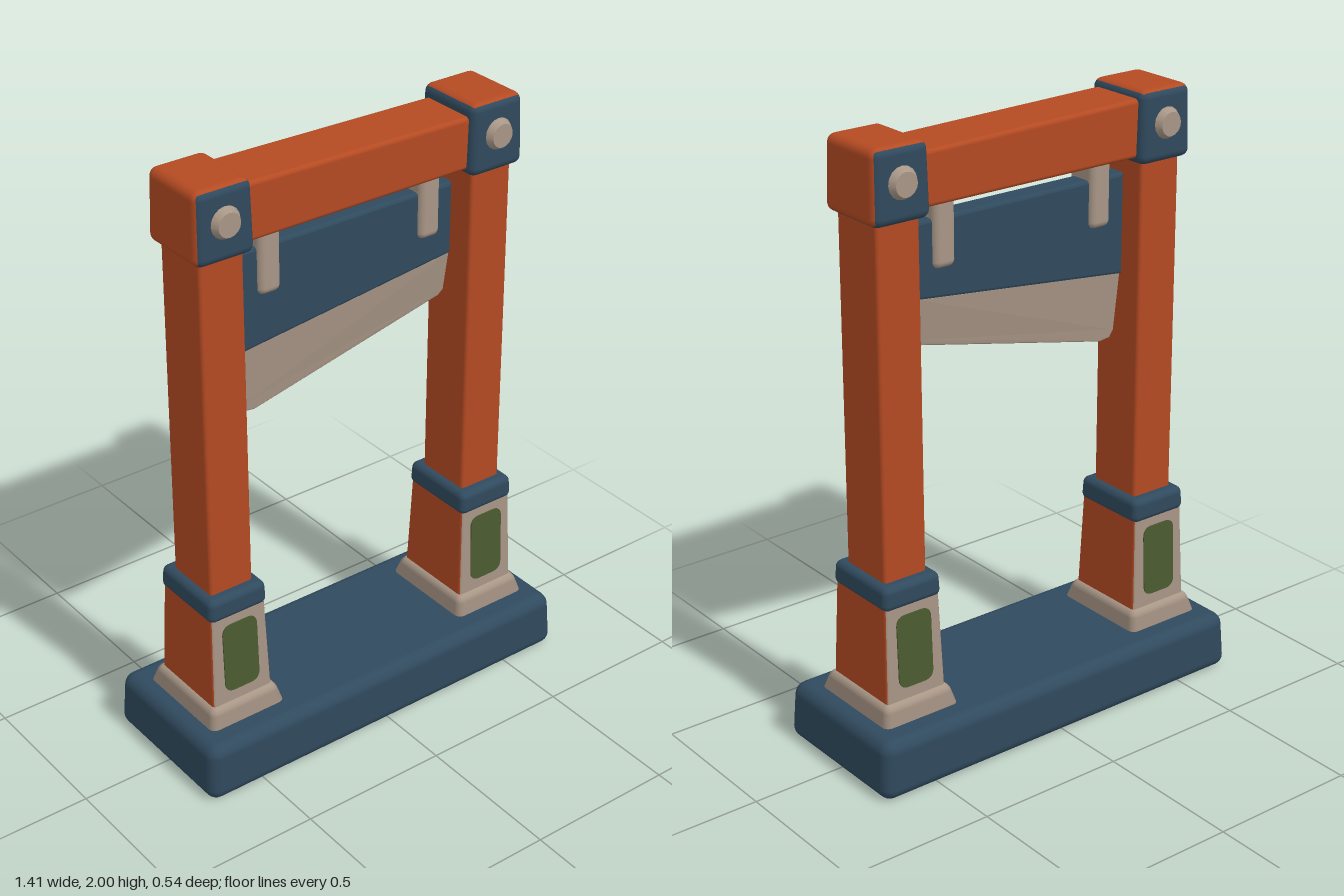
import * as THREE from 'three';
import { RoundedBoxGeometry } from 'three/addons/geometries/RoundedBoxGeometry.js';

const paint = (name, color) => {
  const m = new THREE.MeshStandardMaterial({ color });
  m.name = name;
  return m;
};

export function createModel() {
  const blue = paint('slate blue', 0x304a5e);
  const orange = paint('burnt orange', 0xb44a22);
  const tan = paint('stone tan', 0xa89686);
  const green = paint('moss green', 0x4a5a30);
  const model = new THREE.Group();
  model.name = 'guillotineFrame';

  const add = (parent, name, geometry, material, x = 0, y = 0, z = 0) => {
    const mesh = new THREE.Mesh(geometry, material);
    mesh.name = name;
    mesh.position.set(x, y, z);
    parent.add(mesh);
    return mesh;
  };

  // Rounded box whose top is narrowed by factors tx and tz
  const softBox = (w, h, d, r, tx = 1, tz = 1) => {
    const g = new RoundedBoxGeometry(w, h, d, 3, r);
    const p = g.attributes.position;
    for (let i = 0; i < p.count; i++) {
      const t = p.getY(i) / h + 0.5;
      p.setX(i, p.getX(i) * (1 + (tx - 1) * t));
      p.setZ(i, p.getZ(i) * (1 + (tz - 1) * t));
    }
    return g;
  };

  // Flat polygon extruded evenly about z = 0
  const slab = (points, depth, bevel) => {
    const shape = new THREE.Shape(points.map(([x, y]) => new THREE.Vector2(x, y)));
    const g = new THREE.ExtrudeGeometry(shape, {
      depth: depth - 2 * bevel, bevelEnabled: bevel > 0, bevelSize: bevel,
      bevelThickness: bevel, bevelOffset: -bevel, bevelSegments: 2,
    });
    return g.translate(0, 0, bevel - depth / 2);
  };

  // Rounded panel outline for the pedestal inlays
  const w = 0.064, h = 0.122, r = 0.035;
  const panel = new THREE.Shape();
  panel.moveTo(-w + r, -h);
  panel.lineTo(w - r, -h);
  panel.quadraticCurveTo(w, -h, w, -h + r);
  panel.lineTo(w, h - r);
  panel.quadraticCurveTo(w, h, w - r, h);
  panel.lineTo(-w + r, h);
  panel.quadraticCurveTo(-w, h, -w, h - r);
  panel.lineTo(-w, -h + r);
  panel.quadraticCurveTo(-w, -h, -w + r, -h);
  const panelGeometry = new THREE.ExtrudeGeometry(panel, { depth: 0.008, bevelEnabled: false });

  // Base
  add(model, 'base', softBox(1.41, 0.195, 0.54, 0.04, 0.985, 0.96), blue, 0, 0.0975);

  // Uprights, mirrored left and right
  for (const s of [-1, 1]) {
    const upright = new THREE.Group();
    upright.name = s > 0 ? 'leftUpright' : 'rightUpright';
    upright.position.x = s * 0.496;
    model.add(upright);

    add(upright, 'plinth', softBox(0.29, 0.09, 0.37, 0.025, 0.84, 0.84), tan, 0, 0.215);
    add(upright, 'pedestal', softBox(0.222, 0.36, 0.29, 0.012, 0.9, 0.9),
      [orange, orange, tan, tan, tan, tan], 0, 0.41);
    add(upright, 'collar', softBox(0.215, 0.08, 0.28, 0.022, 0.97, 0.97), blue, 0, 0.605);
    add(upright, 'post', softBox(0.156, 1.22, 0.2, 0.012, 0.98, 0.98), orange, 0, 1.22);

    // Corner block: orange on the top and outside, blue elsewhere
    const sides = s > 0 ? [orange, blue] : [blue, orange];
    add(upright, 'cornerBlock', softBox(0.204, 0.232, 0.256, 0.028, 0.95, 0.95),
      [...sides, orange, blue, blue, blue], 0, 1.884);

    // Inlay and bolt on the front and back
    for (const turn of [0, Math.PI]) {
      const face = new THREE.Group();
      face.name = turn ? 'backFittings' : 'frontFittings';
      face.rotation.y = turn;
      upright.add(face);
      const inlay = add(face, 'inlay', panelGeometry, green, 0, 0.418, 0.1335);
      inlay.rotation.x = -0.04;
      const bolt = add(face, 'bolt', new THREE.CylinderGeometry(0.038, 0.056, 0.03, 16), tan, 0, 1.89, 0.13);
      bolt.rotation.x = Math.PI / 2;
    }
  }

  // Crossbeam, slightly lower at its left end
  const beam = softBox(0.86, 0.186, 0.2, 0.014);
  const bp = beam.attributes.position;
  for (let i = 0; i < bp.count; i++) {
    if (bp.getY(i) > 0) bp.setY(i, bp.getY(i) - 0.016 * (bp.getX(i) / 0.86 + 0.5));
  }
  add(model, 'crossbeam', beam, orange, 0, 1.882);

  // Blade body
  add(model, 'bladeBody',
    slab([[-0.4, 1.4], [0.393, 1.49], [0.393, 1.73], [-0.4, 1.73]], 0.08, 0.01), blue);

  // Blade edge, thinning towards its slanted lower side
  const edge = slab([[-0.388, 1.21], [-0.375, 1.185], [-0.335, 1.18], [0.37, 1.338],
    [0.388, 1.355], [0.39, 1.497], [-0.394, 1.41]], 0.074, 0.006);
  const ep = edge.attributes.position;
  for (let i = 0; i < ep.count; i++) {
    const k = (ep.getX(i) + 0.4) / 0.79;
    const low = 1.17 + 0.175 * k, high = 1.4 + 0.09 * k;
    const t = THREE.MathUtils.clamp((ep.getY(i) - low) / (high - low), 0, 1);
    ep.setZ(i, ep.getZ(i) * (0.35 + 0.65 * t));
  }
  edge.computeVertexNormals();
  add(model, 'bladeEdge', edge, tan);

  // Hangers holding the blade to the crossbeam
  for (const s of [-1, 1]) {
    add(model, s > 0 ? 'leftHanger' : 'rightHanger',
      softBox(0.078, 0.23, 0.115, 0.022), tan, s * 0.297, 1.69);
  }
  return model;
}
